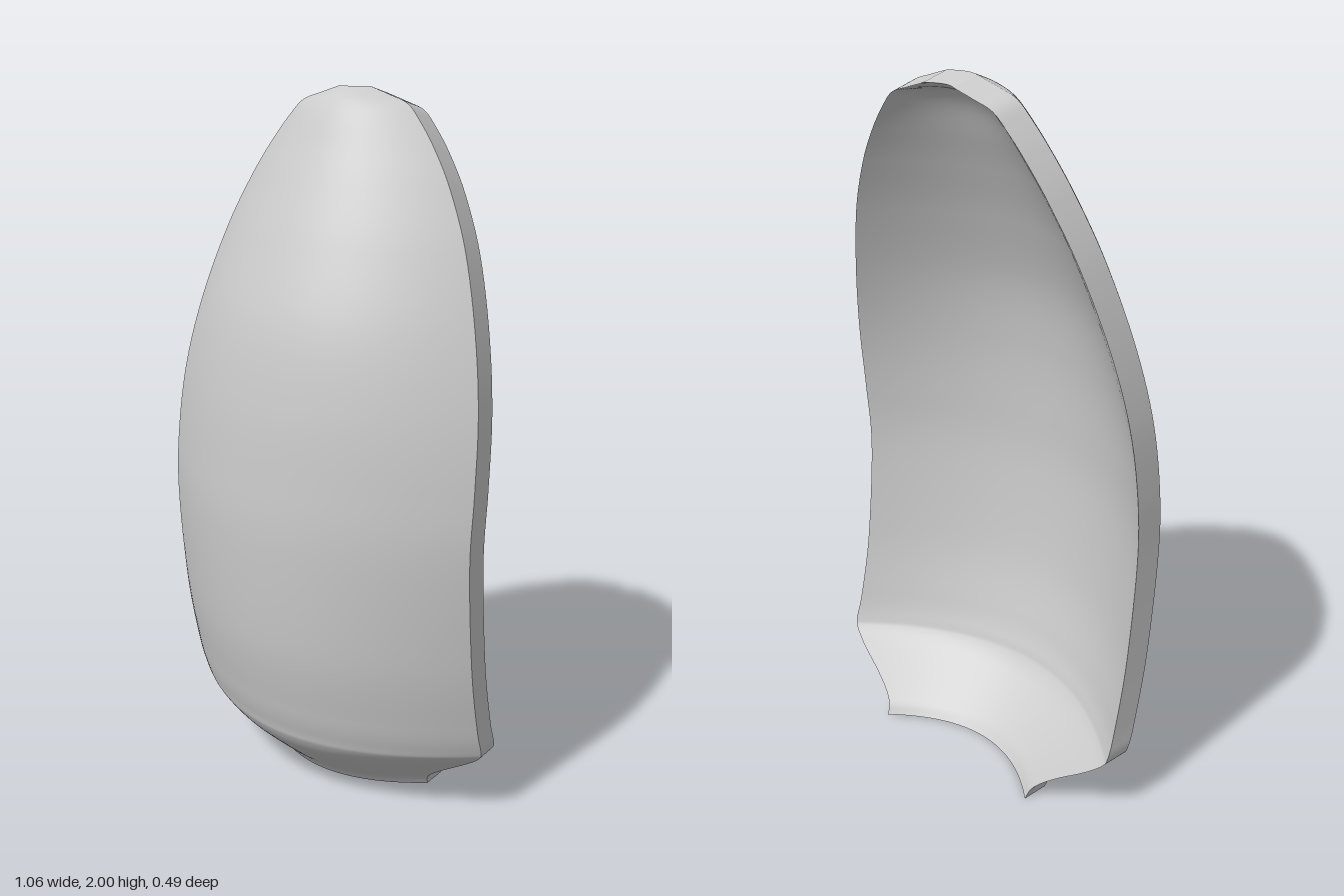
import * as THREE from 'three';
import { ParametricGeometry } from 'three/addons/geometries/ParametricGeometry.js';

// Sections from bottom to top: height, half width, z on the centre line, z at the edge
const sections = [
  [0, 0.295, -0.035, -0.16], [0.03, 0.305, -0.01, -0.145], [0.06, 0.335, 0.025, -0.13],
  [0.1, 0.39, 0.07, -0.115], [0.15, 0.465, 0.122, -0.1], [0.19, 0.515, 0.15, -0.085],
  [0.22, 0.528, 0.16, -0.075], [0.3, 0.528, 0.182, -0.05], [0.5, 0.528, 0.22, -0.01],
  [0.8, 0.528, 0.24, 0.018], [1.0, 0.528, 0.235, 0.007], [1.2, 0.514, 0.218, -0.02],
  [1.4, 0.474, 0.18, -0.056], [1.6, 0.41, 0.106, -0.098], [1.75, 0.338, 0.037, -0.128],
  [1.85, 0.274, -0.014, -0.145], [1.92, 0.218, -0.05, -0.155], [1.96, 0.176, -0.078, -0.16],
  [1.98, 0.118, -0.1, -0.163], [2.0, 0.052, -0.147, -0.165],
];
const centreLine = new THREE.CatmullRomCurve3(
  sections.map(([y, , zc]) => new THREE.Vector3(0, y, zc)), false, 'catmullrom');
const edgeLine = new THREE.CatmullRomCurve3(
  sections.map(([y, w, , zr]) => new THREE.Vector3(w, y, zr)), false, 'catmullrom');

// Point on the shell: s across (-1..1), t upwards (0..1), d from back (0) to front (1)
function shellPoint(s, t, d, target) {
  const c = centreLine.getPoint(t);
  const e = edgeLine.getPoint(t);
  const back = 1 - d;
  return target.set(
    s * e.x * (1 - 0.015 * back),
    c.y * (1 - 0.01 * back),
    c.z + (e.z - c.z) * s * s - 0.08 * back,
  );
}

export function createModel() {
  const group = new THREE.Group();
  group.name = 'curvedShell';
  const material = new THREE.MeshStandardMaterial({ color: 0xcccccc });

  const add = (name, nu, nv, rule) => {
    const geometry = new ParametricGeometry(
      (u, v, target) => shellPoint(...rule(u, v), target), nu, nv);
    const mesh = new THREE.Mesh(geometry, material);
    mesh.name = name;
    group.add(mesh);
  };

  // Bulging front and hollow back
  add('frontSurface', 40, 114, (u, v) => [2 * u - 1, v, 1]);
  add('backSurface', 40, 114, (u, v) => [1 - 2 * u, v, 0]);

  // Rim joining front and back
  add('leftRim', 114, 2, (u, v) => [1, u, v]);
  add('rightRim', 114, 2, (u, v) => [-1, 1 - u, v]);
  add('topRim', 2, 40, (u, v) => [2 * v - 1, 1, u]);
  add('bottomRim', 2, 40, (u, v) => [1 - 2 * v, 0, u]);

  return group;
}
